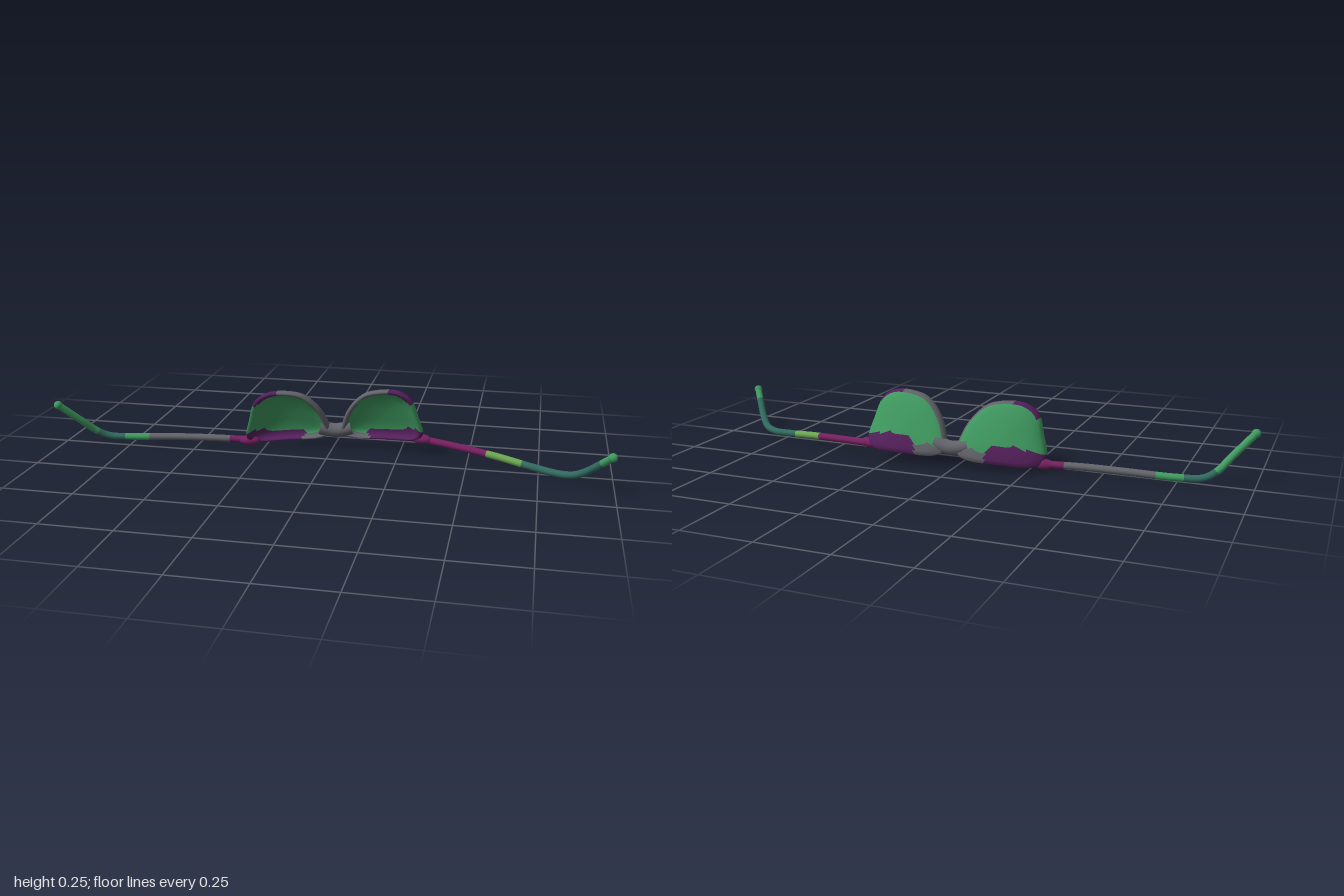
import * as THREE from 'three';

const COLORS = { green: 0x3f9a60, purple: 0x55205c, grey: 0x62646a, teal: 0x31695f, lime: 0x6aa552, plum: 0x74205f };
const materials = {};
for (const key in COLORS) materials[key] = new THREE.MeshStandardMaterial({ color: COLORS[key] });

// Maps flat frame coordinates onto the tilted, wrapped front of the frame.
function place(x, y, depth = 0) {
  const wrap = 0.04 * (1 - Math.pow(x / 0.32, 4));
  return new THREE.Vector3(x + 0.012, y + 0.045 * x, -0.097 - 0.1 * x - wrap + 0.38 * (y - 0.04) + depth);
}

// Outline of one lens: flat base, domed top.
const OUTLINE = new THREE.CatmullRomCurve3([
  [0.02, 0.06], [0.03, 0.12], [0.06, 0.18], [0.11, 0.228], [0.17, 0.243], [0.235, 0.24],
  [0.28, 0.21], [0.305, 0.14], [0.322, 0.06], [0.3, 0.038], [0.17, 0.035], [0.05, 0.042],
].map(([x, y]) => new THREE.Vector3(x, y, 0)), true);

// Section from the hollow front, over the rim, to the bulging back: [scale, depth].
const SECTION = [
  [0.001, -0.014], [0.3, -0.014], [0.6, -0.011], [0.78, -0.005], [0.85, 0.008], [0.9, 0.018], [0.95, 0.02],
  [0.985, 0.012], [1, 0], [0.99, -0.012], [0.94, -0.021], [0.8, -0.026], [0.6, -0.029], [0.3, -0.031], [0.001, -0.031],
];

// Colour patch for a point of the lens, u outward and v up.
function patch(u, v, ring) {
  const rim = ring >= 4 && ring <= 9;
  if (v < 0.09 && u > 0.13) return 'purple';
  if (v < 0.07 || (rim && u < 0.09)) return 'grey';
  if (rim && v > 0.2) return u > 0.19 ? 'purple' : 'grey';
  return 'green';
}

function makeLens(side) {
  const n = 56, cx = 0.175, cy = 0.13;
  const outline = OUTLINE.getSpacedPoints(n).slice(0, n);
  const positions = [], flat = [];
  for (const [s, d] of SECTION) {
    for (const p of outline) {
      const x = cx + (p.x - cx) * s, y = cy + (p.y - cy) * s;
      flat.push([x, y]);
      positions.push(...place(side * x, y, d).toArray());
    }
  }
  const faces = { green: [], purple: [], grey: [] };
  for (let i = 0; i < SECTION.length - 1; i++) {
    for (let j = 0; j < n; j++) {
      const a = i * n + j, d = i * n + (j + 1) % n, b = a + n, c = d + n;
      const list = faces[patch(...flat[a], i)];
      if (side > 0) list.push(a, c, b, a, d, c);
      else list.push(a, b, c, a, c, d);
    }
  }
  const geometry = new THREE.BufferGeometry();
  geometry.setAttribute('position', new THREE.Float32BufferAttribute(positions, 3));
  const index = [], used = [];
  for (const key in faces) {
    geometry.addGroup(index.length, faces[key].length, used.length);
    index.push(...faces[key]);
    used.push(materials[key]);
  }
  geometry.setIndex(index);
  geometry.computeVertexNormals();
  return new THREE.Mesh(geometry, used);
}

function ball(name, position, radius, material, scale = [1, 1, 1]) {
  const mesh = new THREE.Mesh(new THREE.SphereGeometry(radius, 16, 12), material);
  mesh.name = name;
  mesh.position.copy(position);
  mesh.scale.set(...scale);
  return mesh;
}

// Arm as a bent rod split into coloured lengths, with a rounded tip.
function makeArm(points, bands) {
  const arm = new THREE.Group();
  const curve = new THREE.CatmullRomCurve3(points.map((p) => new THREE.Vector3(...p)), false, 'centripetal');
  let start = 0;
  for (const [end, color] of bands) {
    const part = [];
    for (let i = 0; i <= 12; i++) part.push(curve.getPointAt(start + (end - start) * i / 12));
    const path = new THREE.CatmullRomCurve3(part);
    const rod = new THREE.Mesh(new THREE.TubeGeometry(path, 20, 0.013, 12), materials[color]);
    rod.name = 'armSection';
    arm.add(rod);
    start = end;
  }
  arm.add(ball('armTip', curve.getPointAt(1), 0.0155, materials.green));
  return arm;
}

export function createModel() {
  const model = new THREE.Group();
  model.name = 'glasses';

  for (const side of [1, -1]) {
    const label = side > 0 ? 'left' : 'right';
    const lens = makeLens(side);
    lens.name = label + 'Lens';
    model.add(lens);
    // Flared joint between rim and arm
    const hinge = ball(label + 'Hinge', place(side * 0.316, 0.045), 0.02, materials.plum, [2, 0.95, 0.95]);
    hinge.rotation.y = side > 0 ? -0.27 : 0.1;
    model.add(hinge);
  }

  // Bridge over the nose
  const bridgePath = new THREE.CatmullRomCurve3(
    [[-0.06, 0.085], [-0.025, 0.075], [0, 0.072], [0.025, 0.075], [0.06, 0.085]].map(([x, y]) => place(x, y, -0.003)));
  const bridge = new THREE.Mesh(new THREE.TubeGeometry(bridgePath, 20, 0.026, 16), materials.grey);
  bridge.name = 'bridge';
  model.add(bridge);

  const leftArm = makeArm(
    [[0.32, 0.058, -0.135], [0.45, 0.05, -0.1], [0.6, 0.038, -0.056], [0.73, 0.023, -0.012], [0.82, 0.016, 0.018],
      [0.865, 0.024, 0.04], [0.9, 0.047, 0.07], [0.982, 0.138, 0.162]],
    [[0.33, 'plum'], [0.5, 'lime'], [0.68, 'teal'], [0.93, 'teal'], [1, 'green']]);
  leftArm.name = 'leftArm';
  const rightArm = makeArm(
    [[-0.3, 0.032, -0.068], [-0.45, 0.034, -0.056], [-0.6, 0.031, -0.046], [-0.75, 0.026, -0.03], [-0.835, 0.029, -0.016],
      [-0.875, 0.05, 0.002], [-0.92, 0.1, 0.04], [-0.984, 0.17, 0.088]],
    [[0.1, 'plum'], [0.5, 'grey'], [0.62, 'green'], [0.76, 'teal'], [1, 'green']]);
  rightArm.name = 'rightArm';
  model.add(leftArm, rightArm);

  return model;
}
